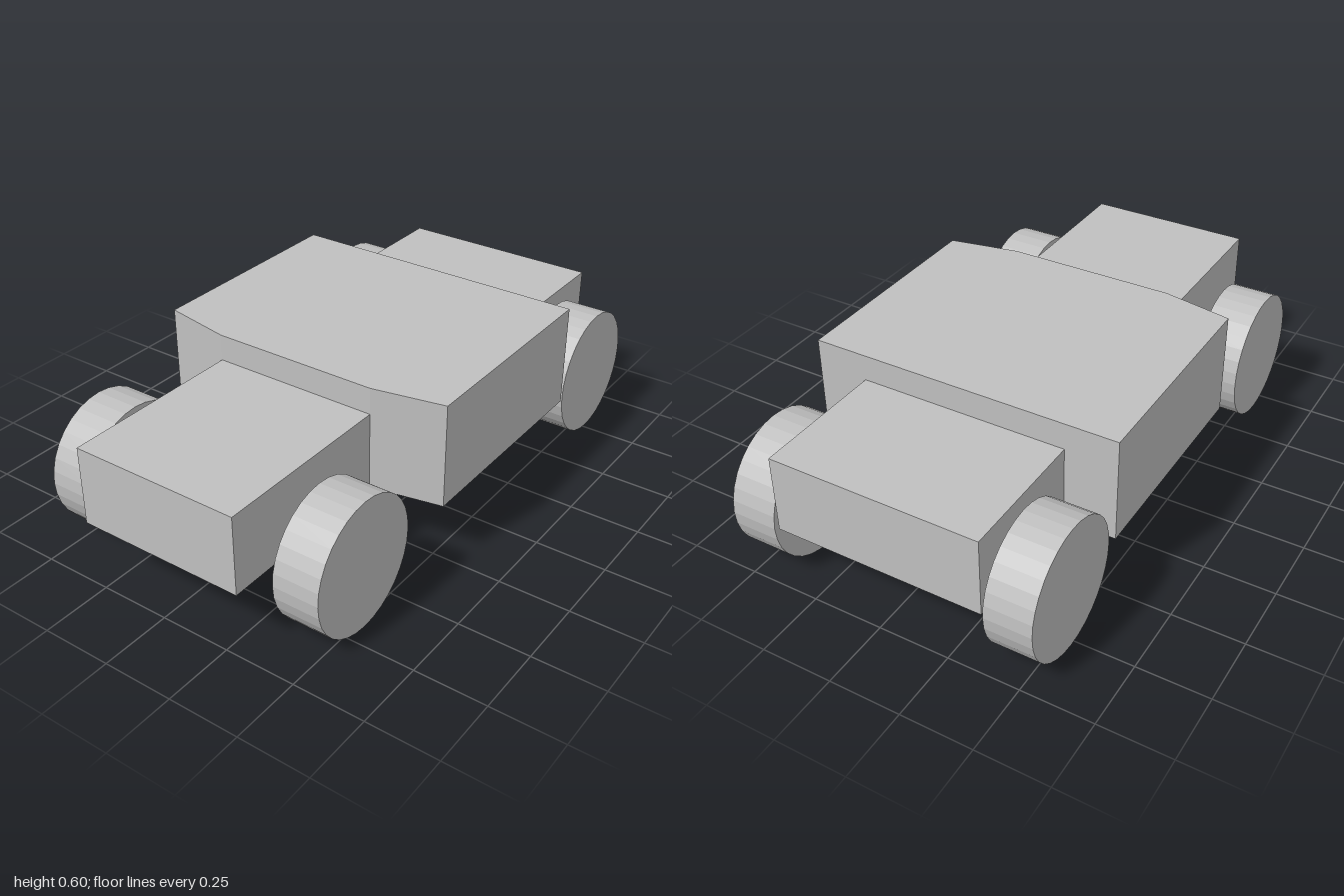
import * as THREE from 'three';

const BASE = 0.232; // underside of the body, also the wheel radius

export function createModel() {
  const model = new THREE.Group();
  const grey = new THREE.MeshStandardMaterial({ color: 0xc0c0c0, flatShading: true });
  grey.name = 'plain grey';

  function add(name, geometry, x, y, z) {
    const mesh = new THREE.Mesh(geometry, grey);
    mesh.name = name;
    mesh.position.set(x, y, z);
    model.add(mesh);
  }

  // Low boxes at both ends, standing on the common underside
  function endBox(name, x0, x1, top, width) {
    add(name, new THREE.BoxGeometry(x1 - x0, top - BASE, width), (x0 + x1) / 2, (BASE + top) / 2, 0);
  }
  endBox('narrowEnd', -1, -0.334, 0.508, 0.604);
  endBox('wideEnd', 0.51, 0.991, 0.508, 0.74);

  // Cabin: plan outline with slanted corners, extruded upwards
  const plan = new THREE.Shape([
    [-0.334, -0.302], [-0.286, -0.553], [0.51, -0.553],
    [0.51, 0.553], [-0.286, 0.553], [-0.334, 0.302],
  ].map(([x, z]) => new THREE.Vector2(x, z)));
  const cabin = new THREE.ExtrudeGeometry(plan, { depth: 0.602 - BASE, bevelEnabled: false });
  cabin.rotateX(-Math.PI / 2);
  add('cabin', cabin, 0, BASE, 0);

  // Four wheels, axis along z
  const wheel = new THREE.CylinderGeometry(BASE, BASE, 0.164, 32).rotateX(Math.PI / 2);
  add('narrowEndWheelFront', wheel, -0.676, BASE, 0.442);
  add('narrowEndWheelBack', wheel, -0.676, BASE, -0.462);
  add('wideEndWheelFront', wheel, 0.768, BASE, 0.463);
  add('wideEndWheelBack', wheel, 0.768, BASE, -0.462);

  return model;
}
